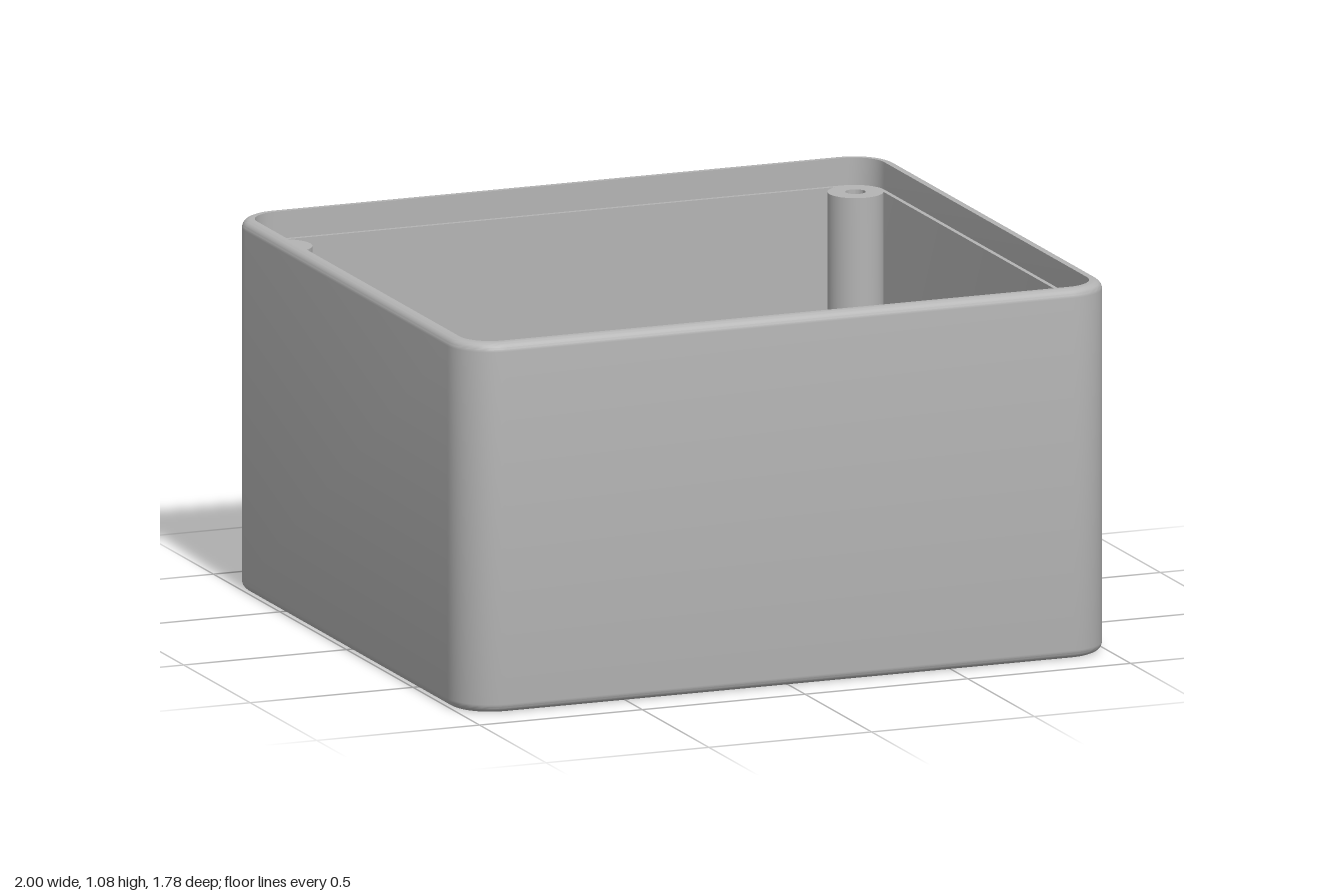
import * as THREE from 'three';
import { toCreasedNormals } from 'three/addons/utils/BufferGeometryUtils.js';

const HALF_X = 1, HALF_Z = 0.89, HEIGHT = 1.08, CORNER = 0.13;
const FLOOR = 0.045, LEDGE = 1.0, SEG = 12;

// Outline of the box, moved inwards by an inset
function ring(inset, y) {
  const r = Math.max(CORNER - inset, 0.01), pts = [];
  const cx = HALF_X - inset - r, cz = HALF_Z - inset - r;
  [[1, 1], [-1, 1], [-1, -1], [1, -1]].forEach(([sx, sz], q) => {
    for (let i = 0; i <= SEG; i++) {
      const a = (q + i / SEG) * Math.PI / 2;
      pts.push([sx * cx + r * Math.cos(a), y, sz * cz + r * Math.sin(a)]);
    }
  });
  return pts;
}

// Skin through a profile of [inset, y] pairs swept round the outline
function sweepProfile(profile) {
  const rings = profile.map(([inset, y]) => ring(inset, y));
  const n = rings[0].length, index = [];
  for (let i = 0; i < rings.length - 1; i++) {
    for (let j = 0; j < n; j++) {
      const k = (j + 1) % n, a = i * n + j, b = i * n + k;
      index.push(a, a + n, b, b, a + n, b + n);
    }
  }
  const geo = new THREE.BufferGeometry();
  geo.setAttribute('position', new THREE.Float32BufferAttribute(rings.flat(2), 3));
  geo.setIndex(index);
  return toCreasedNormals(geo, 0.5);
}

// Quarter-round edge of the profile
function fillet(r, cy, from, to) {
  return Array.from({ length: 7 }, (_, i) => {
    const a = from + (to - from) * i / 6;
    return [r - r * Math.cos(a), cy + r * Math.sin(a)];
  });
}

function roundedRect(path, hx, hy, r, cy = 0) {
  const P = Math.PI;
  path.absarc(hx - r, cy + hy - r, r, 0, P / 2);
  path.absarc(-hx + r, cy + hy - r, r, P / 2, P);
  path.absarc(-hx + r, cy - hy + r, r, P, P * 1.5);
  path.absarc(hx - r, cy - hy + r, r, P * 1.5, P * 2);
  path.closePath();
  return path;
}

export function createModel() {
  const model = new THREE.Group();
  model.name = 'enclosure';
  const grey = new THREE.MeshStandardMaterial({ color: 0xb4b4b4 });
  grey.name = 'grey plastic';
  const add = (name, geo) => {
    const mesh = new THREE.Mesh(geo, grey);
    mesh.name = name;
    model.add(mesh);
    return mesh;
  };

  // Walls: rounded lower edge, rounded rim, lid ledge and cavity
  const edge = 0.025;
  add('walls', sweepProfile([
    ...fillet(edge, edge, -Math.PI / 2, 0),
    ...fillet(edge, HEIGHT - edge, 0, Math.PI / 2),
    [0.037, HEIGHT], [0.037, LEDGE], [0.05, LEDGE], [0.05, FLOOR],
  ]));

  // Floor with the rounded opening
  const floor = roundedRect(new THREE.Shape(), HALF_X - edge, HALF_Z - edge, CORNER - edge);
  floor.holes.push(roundedRect(new THREE.Path(), 0.275, 0.352, 0.08, 0.193));
  const floorGeo = new THREE.ExtrudeGeometry(floor, { depth: FLOOR, bevelEnabled: false, curveSegments: SEG });
  floorGeo.rotateX(-Math.PI / 2);
  add('floor', toCreasedNormals(floorGeo, 0.5));

  // Screw posts with blind holes
  const post = [[0.08, FLOOR], [0.08, LEDGE], [0.029, LEDGE], [0.029, 0.6], [0, 0.6]];
  const postGeo = toCreasedNormals(
    new THREE.LatheGeometry(post.map(([x, y]) => new THREE.Vector2(x, y)), 40), 0.5);
  for (const sx of [-1, 1]) {
    for (const sz of [-1, 1]) {
      add('screwPost', postGeo).position.set(sx * 0.877, 0, sz * 0.767);
    }
  }
  return model;
}
